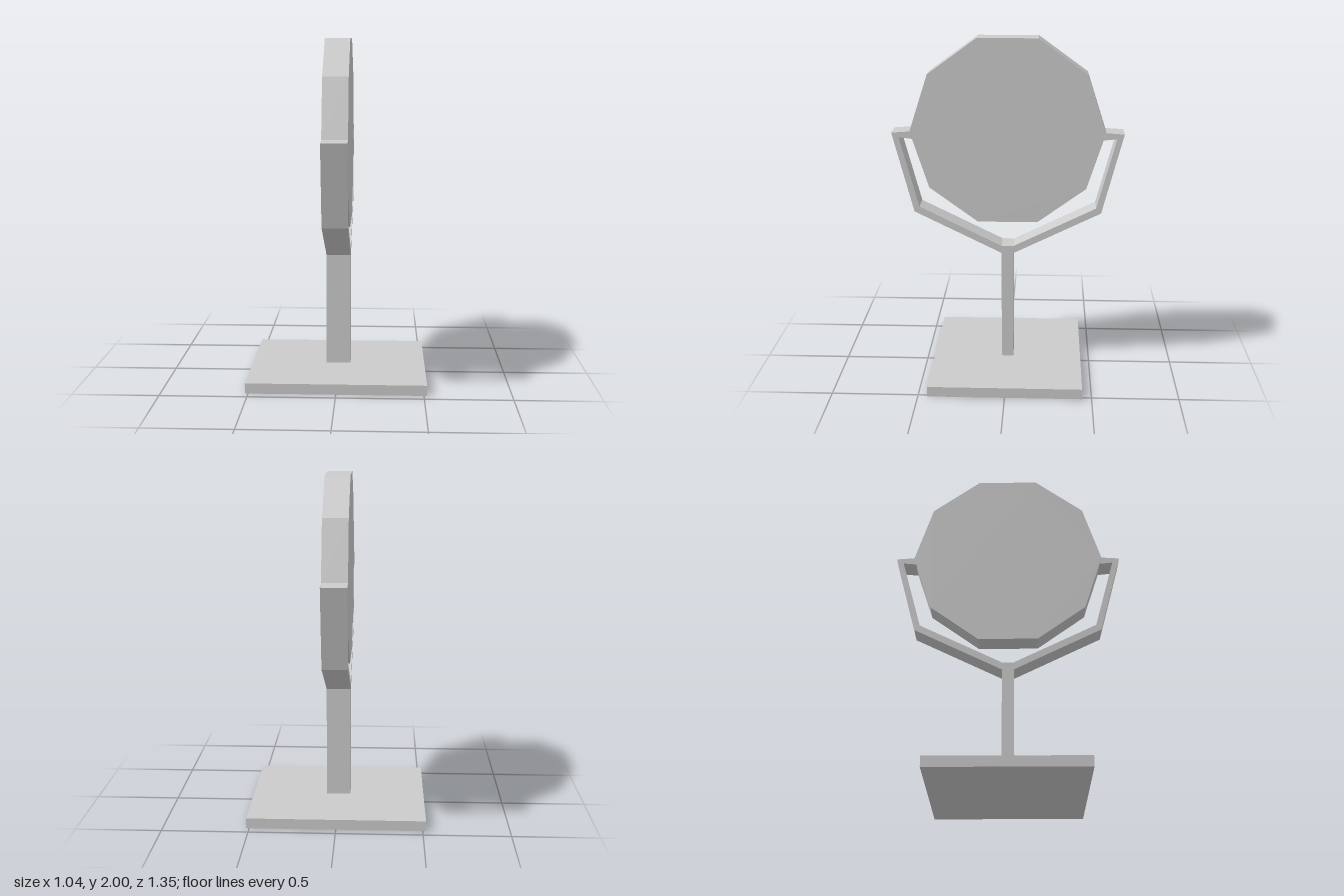
import * as THREE from 'three';

const material = new THREE.MeshStandardMaterial({ color: 0xcccccc, flatShading: true });
const DEPTH = 0.144;

function addMesh(group, name, geometry) {
  const mesh = new THREE.Mesh(geometry, material);
  mesh.name = name;
  group.add(mesh);
  return mesh;
}

// Extrudes a [z, y] outline along x, centred on x = 0
function extrudeProfile(points) {
  const shape = new THREE.Shape(points.map(([z, y]) => new THREE.Vector2(z, y)));
  return new THREE.ExtrudeGeometry(shape, { depth: DEPTH, bevelEnabled: false })
    .translate(0, 0, -DEPTH / 2)
    .rotateY(-Math.PI / 2);
}

export function createModel() {
  const group = new THREE.Group();

  // Flat rectangular foot
  const base = addMesh(group, 'base', new THREE.BoxGeometry(1.036, 0.06, 0.89));
  base.position.y = 0.03;

  // Ten-sided mirror disc
  const radius = 0.568, centreY = 1.46;
  const disc = [];
  for (let i = 0; i < 10; i++) {
    const a = (i / 10) * Math.PI * 2;
    disc.push([radius * Math.cos(a), centreY + radius * Math.sin(a)]);
  }
  addMesh(group, 'mirrorDisc', extrudeProfile(disc));

  // Stem with two bent arms reaching the pivots, as one mirrored outline
  const half = [
    [0.035, 0.05], [0.035, 0.725], [0.55, 0.978], [0.674, 1.453], [0.568, 1.46],
    [0.555, 1.417], [0.632, 1.425], [0.52, 1.008], [0.035, 0.77],
  ];
  const mirrored = half.map(([z, y]) => [-z, y]).reverse();
  addMesh(group, 'stemAndYoke', extrudeProfile([...half, ...mirrored]));

  return group;
}
